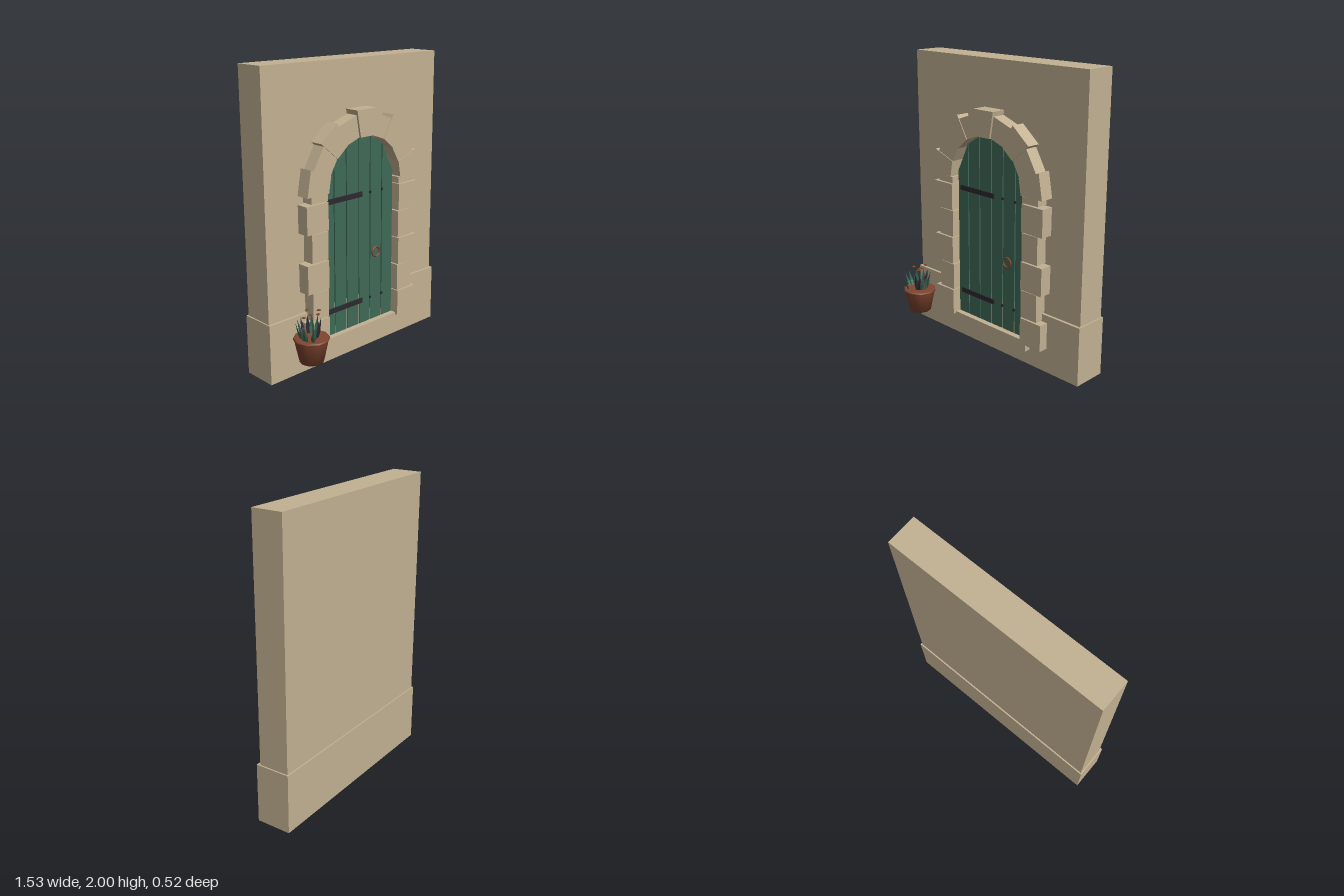
import * as THREE from 'three';

const mat = (name, color, side = THREE.FrontSide) => {
  const m = new THREE.MeshStandardMaterial({ color, side });
  m.name = name;
  return m;
};

export function createModel() {
  const root = new THREE.Group();
  root.name = 'archedDoorway';
  const stone = mat('sandstone', 0xc2b192, THREE.DoubleSide);
  const green = mat('doorGreen', 0x3f6956);
  const iron = mat('darkIron', 0x2c2830);
  const clay = mat('terracotta', 0x804630);
  const leafGreen = mat('leafGreen', 0x33604f, THREE.DoubleSide);
  const leafDark = mat('leafDark', 0x2f2a33, THREE.DoubleSide);

  const add = (name, geo, material, parent = root) => {
    const m = new THREE.Mesh(geo, material);
    m.name = name;
    parent.add(m);
    return m;
  };
  // Box given by its min and max corners
  const box = (name, x0, x1, y0, y1, z0, z1, material, parent) => {
    const m = add(name, new THREE.BoxGeometry(x1 - x0, y1 - y0, z1 - z0), material, parent);
    m.position.set((x0 + x1) / 2, (y0 + y1) / 2, (z0 + z1) / 2);
    return m;
  };
  // Prism from an outline in x and y
  const prism = (name, pts, z0, z1, material, parent) => {
    const shape = new THREE.Shape(pts.map(([x, y]) => new THREE.Vector2(x, y)));
    const geo = new THREE.ExtrudeGeometry(shape, { depth: z1 - z0, bevelEnabled: false });
    return add(name, geo.translate(0, 0, z0), material, parent);
  };

  // Wall slab, and a hollow plinth without a bottom
  box('wall', -0.755, 0.755, 0.4, 2, -0.25, -0.04, stone);
  const plinth = box('plinth', -0.765, 0.765, 0, 0.405, -0.26, -0.02, stone);
  const faces = Array.from(plinth.geometry.index.array);
  faces.splice(18, 6);
  plinth.geometry.setIndex(faces);
  plinth.geometry.clearGroups();
  box('threshold', -0.352, 0.352, 0.11, 0.185, -0.14, 0.025, stone);

  // Jamb stones, alternately long and short
  const jambs = new THREE.Group();
  jambs.name = 'jambStones';
  root.add(jambs);
  const courses = [0.17, 0.36, 0.555, 0.753, 0.948, 1.14, 1.19];
  for (const s of [-1, 1]) {
    for (let i = 0; i < 6; i++) {
      const outer = i % 2 ? 0.457 : 0.5;
      const xs = [s * 0.322, s * outer].sort((a, b) => a - b);
      const m = box('jambStone', xs[0], xs[1], courses[i], courses[i + 1] - 0.006,
        -0.07, i % 2 ? 0.04 : 0.046, stone, jambs);
      m.rotation.z = s * (i % 2 ? 0.012 : -0.008);
    }
  }

  // Arch of wedge stones around the spring point, with a raised keystone
  const arch = new THREE.Group();
  arch.name = 'arch';
  root.add(arch);
  const springY = 1.19;
  const polar = (r, deg) => {
    const a = THREE.MathUtils.degToRad(deg);
    return [r * Math.cos(a), springY + r * Math.sin(a)];
  };
  for (let i = 0; i < 9; i++) {
    const key = i === 4;
    const a = i * 20, b = a + 20;
    const k = Math.min(i, 8 - i);
    const r = key ? 0.503 : k % 2 ? 0.471 : 0.5;
    prism(key ? 'keystone' : 'archStone',
      [polar(0.324, a), polar(r, a), polar(r, b), polar(0.324, b)],
      -0.06, key ? 0.064 : k % 2 ? 0.05 : 0.055, stone, arch);
  }

  // Door planks cut to follow the arch
  const door = new THREE.Group();
  door.name = 'door';
  root.add(door);
  const R = 0.32;
  const topAt = (x) => springY + Math.sqrt(Math.max(0, R * R - x * x));
  const cuts = [-0.322, -0.22, -0.112, 0, 0.105, 0.215, 0.322];
  for (let i = 0; i < 6; i++) {
    const a = cuts[i] + 0.004, b = cuts[i + 1] - 0.004;
    prism('plank', [[a, 0.185], [b, 0.185], [b, topAt(b)], [a, topAt(a)]],
      -0.06, -0.015, green, door);
  }

  // Strap hinges and nails
  for (const y of [0.355, 1.11]) {
    box('strapHinge', -0.29, 0.027, y - 0.017, y + 0.017, -0.016, -0.006, iron, door);
    for (const x of [0.105, 0.215]) {
      box('nail', x - 0.008, x + 0.008, y - 0.008, y + 0.008, -0.016, -0.008, iron, door);
    }
  }

  // Ring handle
  add('ringHandle', new THREE.TorusGeometry(0.034, 0.006, 8, 20), clay, door)
    .position.set(0.153, 0.68, -0.005);

  // Flower pot
  const pot = new THREE.Group();
  pot.name = 'flowerPot';
  pot.position.set(-0.57, 0.165, 0.15);
  root.add(pot);
  const profile = [[0, 0], [0.078, 0], [0.109, 0.145], [0.116, 0.152], [0.116, 0.162], [0.108, 0.166], [0, 0.162]]
    .map(([x, y]) => new THREE.Vector2(x, y));
  add('pot', new THREE.LatheGeometry(profile, 10), clay, pot).rotation.y = Math.PI / 10;

  // Pointed leaves, folded along the middle and leaning outwards
  const leafGeo = (h, w) => {
    const geo = new THREE.BufferGeometry();
    geo.setAttribute('position', new THREE.Float32BufferAttribute([
      -w * 0.7, 0, 0, 0, 0, 0.008, -w, h * 0.4, 0, 0, h * 0.4, 0.01,
      w * 0.7, 0, 0, w, h * 0.4, 0, 0, h, 0], 3));
    geo.setIndex([0, 1, 3, 0, 3, 2, 1, 4, 5, 1, 5, 3, 2, 3, 6, 3, 5, 6]);
    const flat = geo.toNonIndexed();
    flat.computeVertexNormals();
    return flat;
  };
  for (let i = 0; i < 13; i++) {
    const a = i * 2.4;
    const r = 0.03 + 0.045 * ((i * 5) % 13) / 12;
    const leaf = add('leaf', leafGeo(0.145 - r * 0.45, 0.016), i % 5 < 3 ? leafGreen : leafDark, pot);
    leaf.position.set(Math.sin(a) * r, 0.16, Math.cos(a) * r);
    leaf.rotation.order = 'YXZ';
    leaf.rotation.set(r * 5, a, 0);
  }

  // Small flat blossoms above the leaves
  const blossoms = [[0.01, 0.33, -0.05], [0, 0.312, -0.005], [0.05, 0.335, 0.015], [0.03, 0.318, 0.03], [-0.06, 0.312, 0]];
  for (const [x, y, z] of blossoms) {
    add('blossom', new THREE.CylinderGeometry(0.013, 0.013, 0.004, 6), clay, pot).position.set(x, y, z);
  }
  return root;
}
